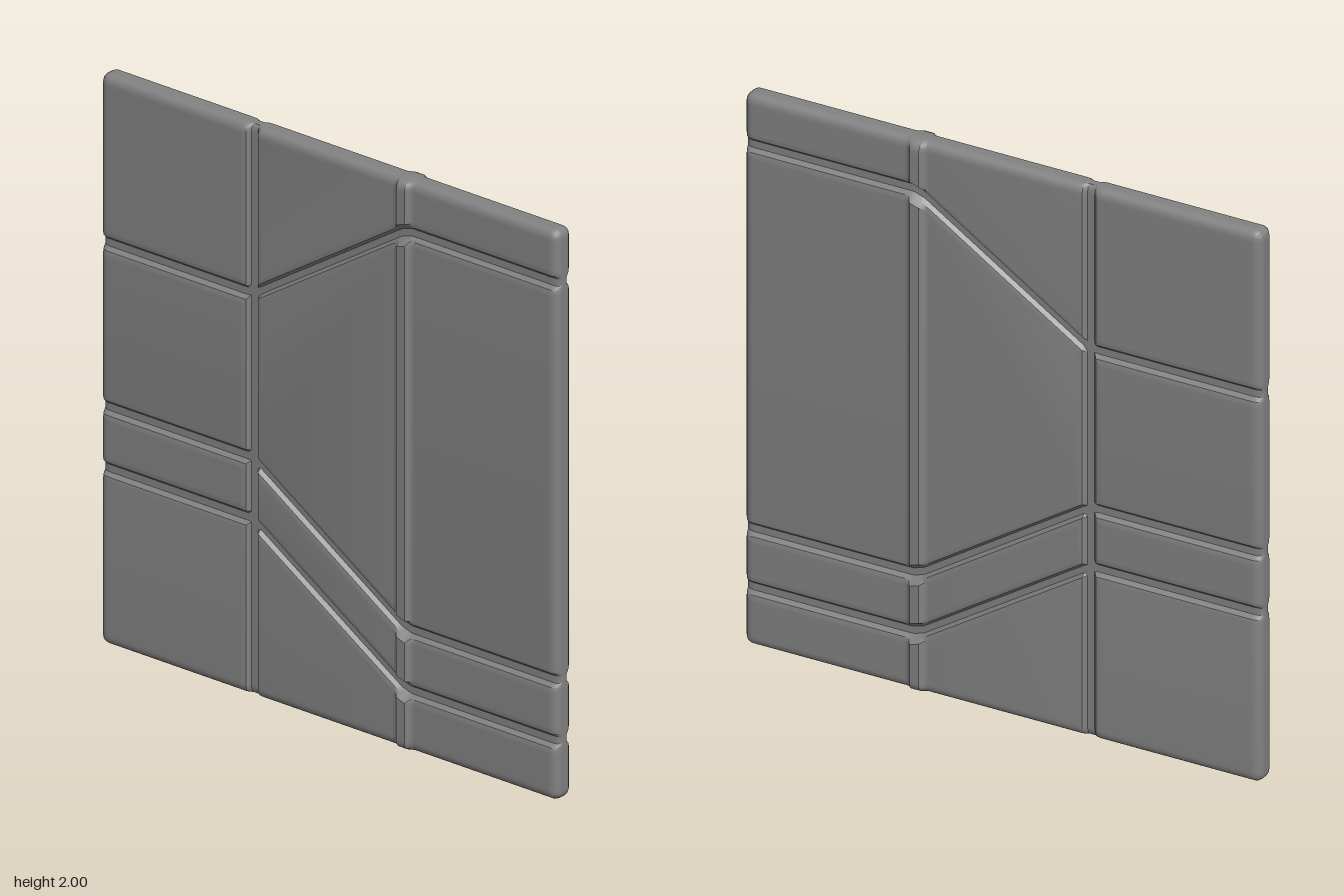
import * as THREE from 'three';
import { toCreasedNormals } from 'three/addons/utils/BufferGeometryUtils.js';

const W = 0.945, H = 2, R = 0.03;          // half width, height, edge radius
const FLAT = 0.04;                          // half thickness of the slab
const SEAM_X = -0.317, RIDGE_X = 0.312;     // upright groove and upright ridge
// groove heights: [left of the seam, right of the ridge]
const GROOVES = [[0.617, 0.21], [0.832, 0.422], [1.408, 1.815]];
// cross-sections as [distance from centre line, half thickness]
const GROOVE = [[0, 0.023], [0.013, 0.023], [0.025, 0.037], [0.038, FLAT], [0.046, FLAT]];
const RIDGE = [[0, 0.056], [0.017, 0.056], [0.029, 0.043], [0.037, FLAT], [0.045, FLAT]];
const EDGE = [0, 1, 2, 3, 4].map(i => {
  const a = i * Math.PI / 8;
  return [R * (1 - Math.cos(a)), FLAT - R + R * Math.sin(a)];
});
EDGE.push([R + 0.01, FLAT]);

// half thickness at distance d, read from a cross-section
function sample(profile, d) {
  for (let i = 1; i < profile.length; i++) {
    const [d0, h0] = profile[i - 1], [d1, h1] = profile[i];
    if (d <= d1) return h0 + (h1 - h0) * (d - d0) / (d1 - d0);
  }
  return profile[profile.length - 1][1];
}

const around = (c, profile) => [
  ...profile.slice(1).reverse().map(p => c - p[0]),
  ...profile.map(p => c + p[0]),
];

// centre line of a groove, with slightly softened bends
function grooveY([left, right], x) {
  const t = v => THREE.MathUtils.clamp((v - SEAM_X) / (RIDGE_X - SEAM_X), 0, 1);
  return left + (right - left) * (t(x - 0.02) + t(x + 0.02)) / 2;
}

// half thickness of the panel before its rim is rounded
function thickness(x, y) {
  const carved = Math.min(
    sample(GROOVE, Math.abs(x - SEAM_X)),
    ...GROOVES.map(g => sample(GROOVE, Math.abs(y - grooveY(g, x)))),
  );
  return carved < FLAT - 1e-6 ? carved : sample(RIDGE, Math.abs(x - RIDGE_X));
}

function createPanel() {
  // columns follow the uprights, rows follow the bent grooves
  const xs = [
    ...EDGE.map(e => -W + e[0]), ...around(SEAM_X, GROOVE),
    ...around(RIDGE_X, RIDGE), ...EDGE.map(e => W - e[0]).reverse(),
  ];
  const rowsAt = x => [
    ...EDGE.map(e => e[0]),
    ...GROOVES.flatMap(g => around(grooveY(g, x), GROOVE)),
    ...EDGE.map(e => H - e[0]).reverse(),
  ];
  const nx = xs.length, ny = rowsAt(0).length, size = nx * ny;
  const front = [], back = [];

  for (const x of xs) {
    for (const y of rowsAt(x)) {
      const d = Math.max(0, Math.min(W - Math.abs(x), y, H - y));
      const h = thickness(x, y) * sample(EDGE, d) / FLAT;

      // round the four corners of the outline
      let px = x, py = y;
      const cx = Math.sign(x) * (W - R), cy = y < H / 2 ? R : H - R;
      const u = x - cx, v = y - cy;
      if (u * Math.sign(x) > 1e-6 && v * (y < H / 2 ? -1 : 1) > 1e-6) {
        const k = Math.max(Math.abs(u), Math.abs(v)) / Math.hypot(u, v);
        px = cx + u * k;
        py = cy + v * k;
      }
      front.push(px, py, h);
      back.push(px, py, -h);
    }
  }

  const index = [];
  const quad = (a, b, c, d) => index.push(a, b, c, a, c, d);
  for (let i = 0; i < nx - 1; i++) {
    for (let j = 0; j < ny - 1; j++) {
      const a = i * ny + j, b = a + ny, c = b + 1, d = a + 1;
      quad(a, b, c, d);
      quad(a + size, d + size, c + size, b + size);
    }
  }
  // rim joining front and back
  const rim = (a, b) => quad(a, a + size, b + size, b);
  for (let i = 0; i < nx - 1; i++) {
    rim(i * ny, (i + 1) * ny);
    rim((i + 2) * ny - 1, (i + 1) * ny - 1);
  }
  for (let j = 0; j < ny - 1; j++) {
    rim(j + 1, j);
    rim((nx - 1) * ny + j, (nx - 1) * ny + j + 1);
  }

  const geometry = new THREE.BufferGeometry();
  geometry.setAttribute('position', new THREE.Float32BufferAttribute([...front, ...back], 3));
  geometry.setIndex(index);
  return toCreasedNormals(geometry, 0.5);
}

export function createModel() {
  const group = new THREE.Group();
  group.name = 'groovedPanel';
  const panel = new THREE.Mesh(createPanel(), new THREE.MeshStandardMaterial({ color: 0x828282 }));
  panel.name = 'panel';
  group.add(panel);
  return group;
}
